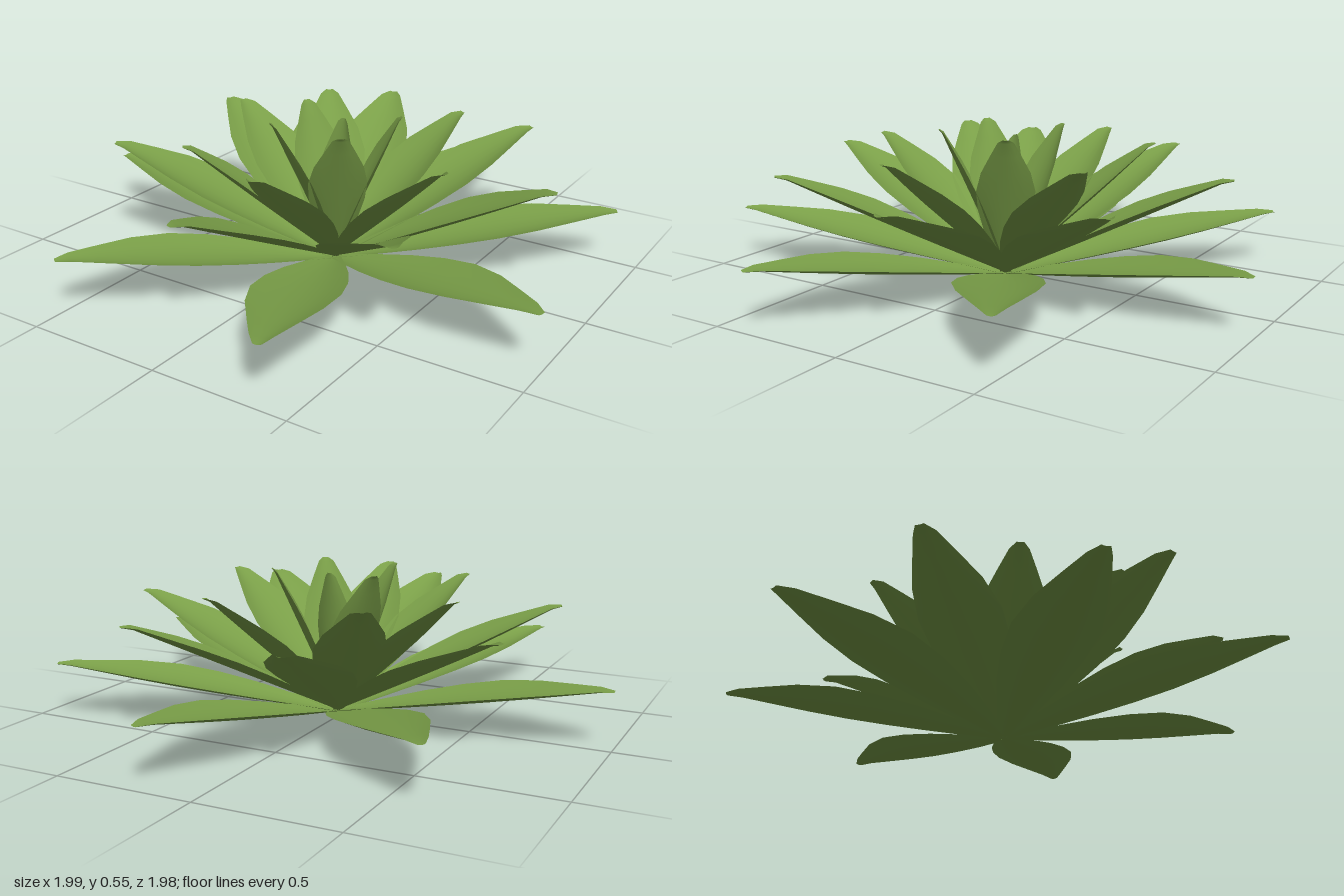
import * as THREE from 'three';

// Half-width of a leaf along its length, as a fraction of its widest half
const OUTLINE = [[0, 0.15], [0.15, 0.48], [0.3, 0.77], [0.44, 0.95], [0.58, 1],
  [0.72, 0.83], [0.85, 0.52], [0.95, 0.27], [1, 0.1]];
const ACROSS = 6;

// Tiers from outermost to innermost: reach, tip height, half-width and leaf headings in degrees
const TIERS = [
  { name: 'outerLeaf', reach: 1.025, base: 0.005, tip: 0.205, half: 0.15, angles: [20.5, 69.5, 120.5, 180, 230, 279.5, 329.5] },
  { name: 'middleLeaf', reach: 0.82, base: 0.01, tip: 0.41, half: 0.148, angles: [45, 95, 155.5, 205, 255, 305, 355] },
  { name: 'upperLeaf', reach: 0.545, base: 0.015, tip: 0.49, half: 0.128, angles: [16, 87, 131, 196, 235, 300] },
  { name: 'innerLeaf', reach: 0.24, base: 0.02, tip: 0.55, half: 0.105, angles: [52, 130, 211, 327] },
  { name: 'heartLeaf', reach: 0.05, base: 0.02, tip: 0.535, half: 0.085, angles: [280] },
];

// Cupped blade growing along +x, its edges lifted along the blade's normal
function leafGeometry({ reach, base, tip, half }) {
  const rise = tip - base;
  const length = Math.hypot(reach, rise);
  const normal = [-rise / length, reach / length];
  const positions = [];
  const index = [];
  OUTLINE.forEach(([t, w], i) => {
    // The very tip levels off slightly
    const y = base + rise * (t < 0.95 ? t * 1.025 : 0.974 + (t - 0.95) * 0.52);
    for (let j = 0; j <= ACROSS; j++) {
      const u = (j / ACROSS) * 2 - 1;
      const lift = 0.24 * half * w * u * u;
      positions.push(t * reach + normal[0] * lift, y + normal[1] * lift, u * half * w);
      if (i > 0 && j > 0) {
        const d = i * (ACROSS + 1) + j;
        const c = d - 1;
        const b = d - ACROSS - 1;
        const a = b - 1;
        index.push(a, b, d, a, d, c);
      }
    }
  });
  const geometry = new THREE.BufferGeometry();
  geometry.setAttribute('position', new THREE.Float32BufferAttribute(positions, 3));
  geometry.setIndex(index);
  geometry.computeVertexNormals();
  return geometry;
}

export function createModel() {
  const plant = new THREE.Group();
  plant.name = 'rosettePlant';
  const green = new THREE.MeshStandardMaterial({ color: 0x7a9f48, side: THREE.DoubleSide });

  for (const tier of TIERS) {
    const geometry = leafGeometry(tier);
    tier.angles.forEach((angle, i) => {
      const leaf = new THREE.Mesh(geometry, green);
      leaf.name = `${tier.name}${i + 1}`;
      leaf.rotation.y = -THREE.MathUtils.degToRad(angle);
      plant.add(leaf);
    });
  }

  // The crown sits slightly off the middle of the overall spread
  plant.children.forEach((leaf) => leaf.position.set(0.03, 0, 0.02));
  return plant;
}
